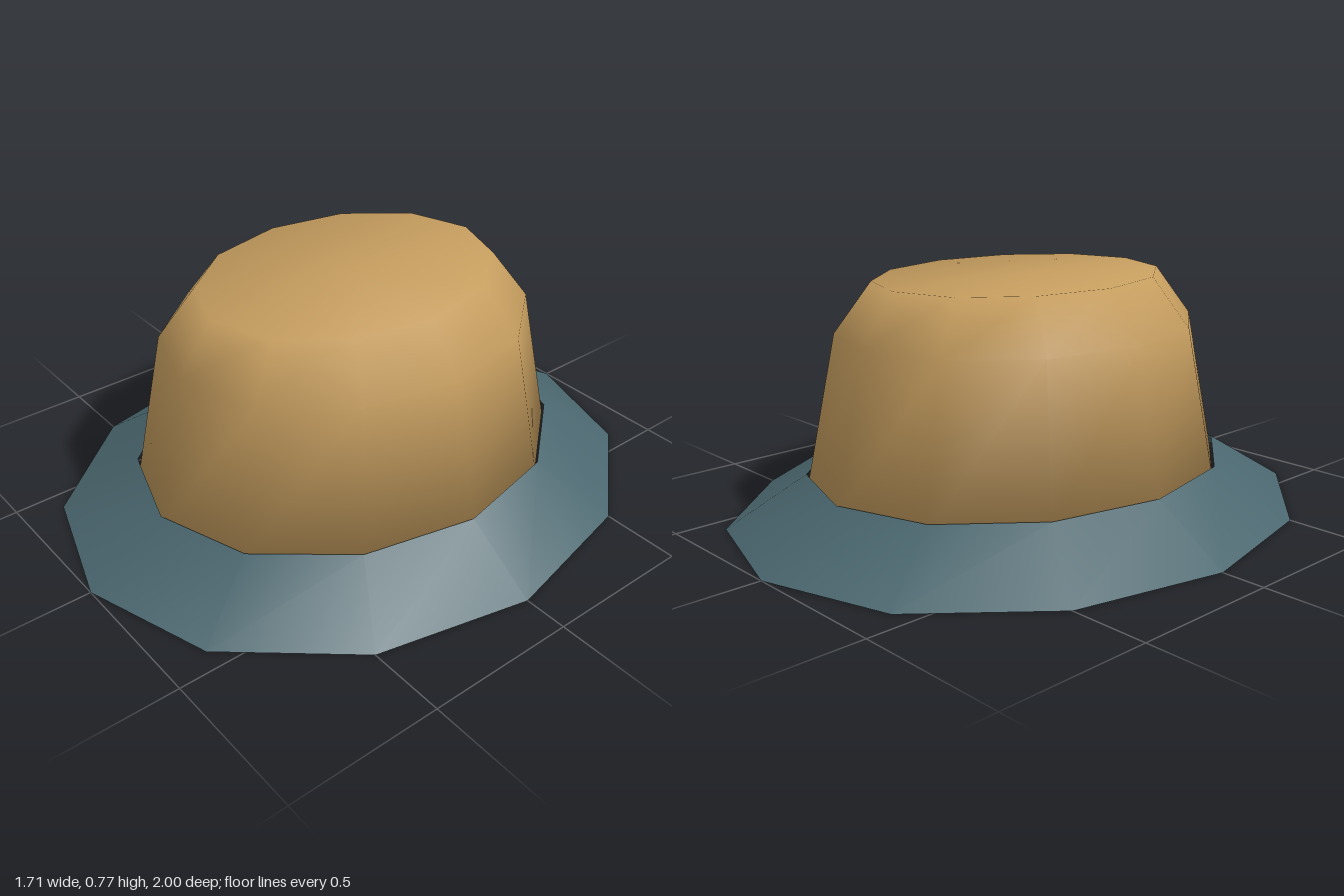
import * as THREE from 'three';

const SIDES = 12;

// Skin over elliptical rings [radiusX, radiusZ, y]; rings listed upward face outward.
function ringSkin(rings) {
  const positions = [];
  const indices = [];
  rings.forEach(([rx, rz, y], i) => {
    for (let j = 0; j < SIDES; j++) {
      const angle = (j / SIDES) * Math.PI * 2;
      positions.push(rx * Math.sin(angle), y, rz * Math.cos(angle));
      if (i === rings.length - 1) continue;
      const a = i * SIDES + j;
      const b = i * SIDES + ((j + 1) % SIDES);
      indices.push(a, b, b + SIDES, a, b + SIDES, a + SIDES);
    }
  });
  const geometry = new THREE.BufferGeometry();
  geometry.setAttribute('position', new THREE.Float32BufferAttribute(positions, 3));
  geometry.setIndex(indices);
  geometry.computeVertexNormals();
  return geometry;
}

export function createModel() {
  const tan = new THREE.MeshStandardMaterial({ color: 0xc49c5e });
  tan.name = 'tanFelt';
  const slate = new THREE.MeshStandardMaterial({ color: 0x4a666e, side: THREE.DoubleSide });
  slate.name = 'slateFelt';

  const hat = new THREE.Group();
  hat.name = 'hat';

  // Crown: closed body whose flat base sits just under the brim's inner edge
  const crown = new THREE.Mesh(ringSkin([
    [0, 0, 0.13],
    [0.606, 0.732, 0.13],
    [0.52, 0.63, 0.61],
    [0.4, 0.51, 0.77],
    [0, 0, 0.77],
  ]), tan);
  crown.name = 'crown';

  // Brim: sloping open band around the crown
  const brim = new THREE.Mesh(ringSkin([
    [0.857, 1, 0],
    [0.612, 0.737, 0.16],
  ]), slate);
  brim.name = 'brim';

  hat.add(crown, brim);
  return hat;
}
